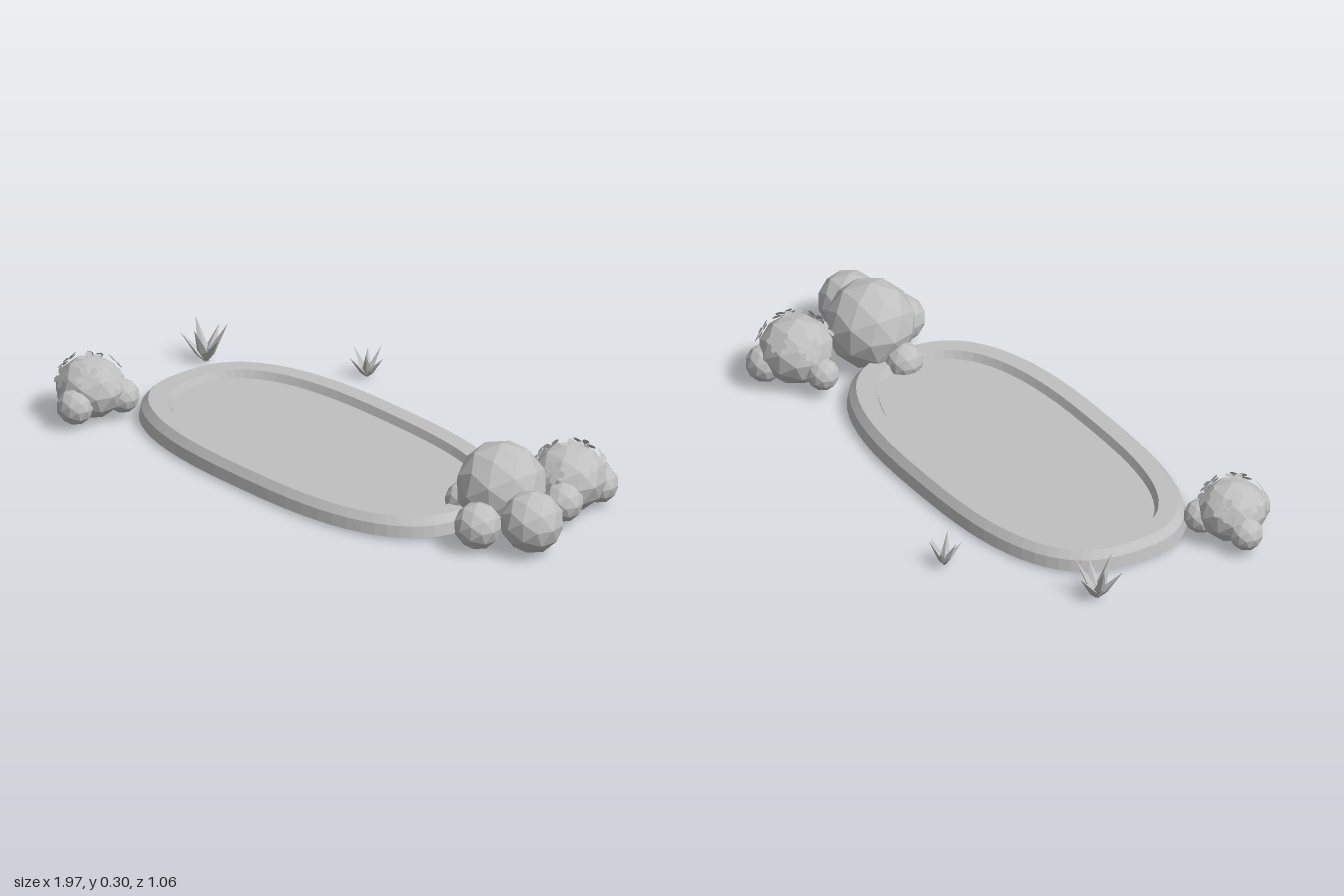
import * as THREE from 'three';

const stone = new THREE.MeshStandardMaterial({ color: 0xc0c0c0 });
stone.name = 'light grey';
stone.flatShading = true;
stone.side = THREE.DoubleSide;

function add(parent, name, geometry, x = 0, y = 0, z = 0) {
  const mesh = new THREE.Mesh(geometry, stone);
  mesh.name = name;
  mesh.position.set(x, y, z);
  parent.add(mesh);
  return mesh;
}

// Rounded oval outline, inset from the outer edge by a given distance
function ovalPoint(t, inset) {
  const c = Math.cos(t), s = Math.sin(t), e = 2 / 2.7;
  return [
    Math.sign(c) * Math.abs(c) ** e * (0.72 - inset),
    Math.sign(s) * Math.abs(s) ** e * (0.367 - inset),
  ];
}

// Pond rim: an open-bottomed shell swept around the oval
function rimGeometry() {
  const profile = [[0, 0.008], [0.007, 0.045], [0.028, 0.07], [0.085, 0.07], [0.099, 0.04], [0.1, 0.008]];
  const n = 64, pos = [], idx = [], w = profile.length;
  for (let i = 0; i < n; i++) {
    for (const [inset, y] of profile) {
      const [x, z] = ovalPoint((i / n) * Math.PI * 2, inset);
      pos.push(x, y, z);
    }
    for (let j = 0; j < w - 1; j++) {
      const a = i * w + j, b = ((i + 1) % n) * w + j;
      idx.push(a, a + 1, b, b, a + 1, b + 1);
    }
  }
  const g = new THREE.BufferGeometry();
  g.setAttribute('position', new THREE.Float32BufferAttribute(pos, 3));
  g.setIndex(idx);
  g.computeVertexNormals();
  return g;
}

// Water: a slab filling the rim almost to its top
function waterGeometry() {
  const pts = [];
  for (let i = 0; i < 64; i++) {
    pts.push(new THREE.Vector2(...ovalPoint((i / 64) * Math.PI * 2, 0.098)));
  }
  return new THREE.ExtrudeGeometry(new THREE.Shape(pts), { depth: 0.046, bevelEnabled: false })
    .rotateX(-Math.PI / 2);
}

function boulder(parent, name, [x, y, z, r]) {
  return add(parent, name, new THREE.IcosahedronGeometry(r, 1), x, y, z);
}

// Flower: five flat oval petals around a small centre, facing +z
function flower(size) {
  const g = new THREE.Group();
  g.name = 'flower';
  for (let i = 0; i < 5; i++) {
    const a = (i / 5) * Math.PI * 2;
    const petal = add(g, 'petal', new THREE.CircleGeometry(size * 0.4, 10),
      Math.cos(a) * size * 0.62, Math.sin(a) * size * 0.62, 0.002);
    petal.scale.y = 0.72;
    petal.rotation.z = a;
  }
  add(g, 'flowerCentre', new THREE.CircleGeometry(size * 0.22, 8), 0, 0, 0.004);
  return g;
}

// Bush: one slightly flattened ball, smaller balls at its foot, a flower on top and a ring of six
function bush(name, body, lobes, turn) {
  const g = new THREE.Group(), squash = 0.9;
  g.name = name;
  boulder(g, 'bushBody', body).scale.y = squash;
  lobes.forEach((l) => boulder(g, 'bushLobe', l));
  const [x, y, z, r] = body;
  for (let i = 0; i < 7; i++) {
    const up = i === 6 ? 0.99 : i % 2 ? 0.5 : 0.64;
    const a = turn + (i / 6) * Math.PI * 2, h = Math.sqrt(1 - up * up);
    const dir = new THREE.Vector3(Math.cos(a) * h, up, Math.sin(a) * h);
    const f = flower(0.04);
    f.position.set(x + dir.x * r * 1.02, y + dir.y * r * squash * 1.04, z + dir.z * r * 1.02);
    f.quaternion.setFromUnitVectors(new THREE.Vector3(0, 0, 1), dir);
    g.add(f);
  }
  return g;
}

// Grass: pointed blades, widest below the middle, leaning outward
function grassTuft(name, x, z, s, turn) {
  const g = new THREE.Group();
  g.name = name;
  for (let i = 0; i < 6; i++) {
    const len = s * (i % 2 ? 1.12 : 0.98);
    const outline = [[0.08, 0], [0.15, 0.3], [0, 1]]
      .map(([w, t]) => new THREE.Vector2(w * s, t * len));
    const blade = add(g, 'grassBlade', new THREE.LatheGeometry(outline, 4));
    blade.scale.z = 0.6;
    blade.rotation.order = 'YXZ';
    blade.rotation.set(i % 2 ? -0.5 : -0.7, turn + (i / 6) * Math.PI * 2, 0);
  }
  g.position.set(x, 0.004, z);
  return g;
}

export function createModel() {
  const model = new THREE.Group();
  model.name = 'gardenPond';

  const pond = new THREE.Group();
  pond.name = 'pond';
  pond.position.set(-0.08, 0, 0.045);
  add(pond, 'pondRim', rimGeometry());
  add(pond, 'water', waterGeometry());
  model.add(pond);

  // Rock pile at the left end, as x, y, z, radius
  const rocks = new THREE.Group();
  rocks.name = 'rockPile';
  [
    [0.69, 0.148, -0.02, 0.147],
    [0.895, 0.107, 0.03, 0.102],
    [0.76, 0.08, 0.14, 0.077],
    [0.555, 0.065, 0.02, 0.062],
  ].forEach((r) => boulder(rocks, 'rock', r));
  model.add(rocks);

  model.add(bush('backBush', [0.725, 0.117, -0.275, 0.122], [
    [0.76, 0.077, -0.37, 0.062],
    [0.605, 0.077, -0.25, 0.053],
    [0.795, 0.08, -0.187, 0.066],
  ], 0.15));
  model.add(bush('frontBush', [-0.82, 0.104, 0.387, 0.112], [
    [-0.92, 0.07, 0.375, 0.055],
    [-0.79, 0.072, 0.478, 0.06],
    [-0.755, 0.072, 0.31, 0.056],
  ], 0.8));

  model.add(grassTuft('largeGrassTuft', -0.905, -0.17, 0.13, 0.3));
  model.add(grassTuft('smallGrassTuft', -0.48, -0.475, 0.095, 0.8));
  return model;
}
